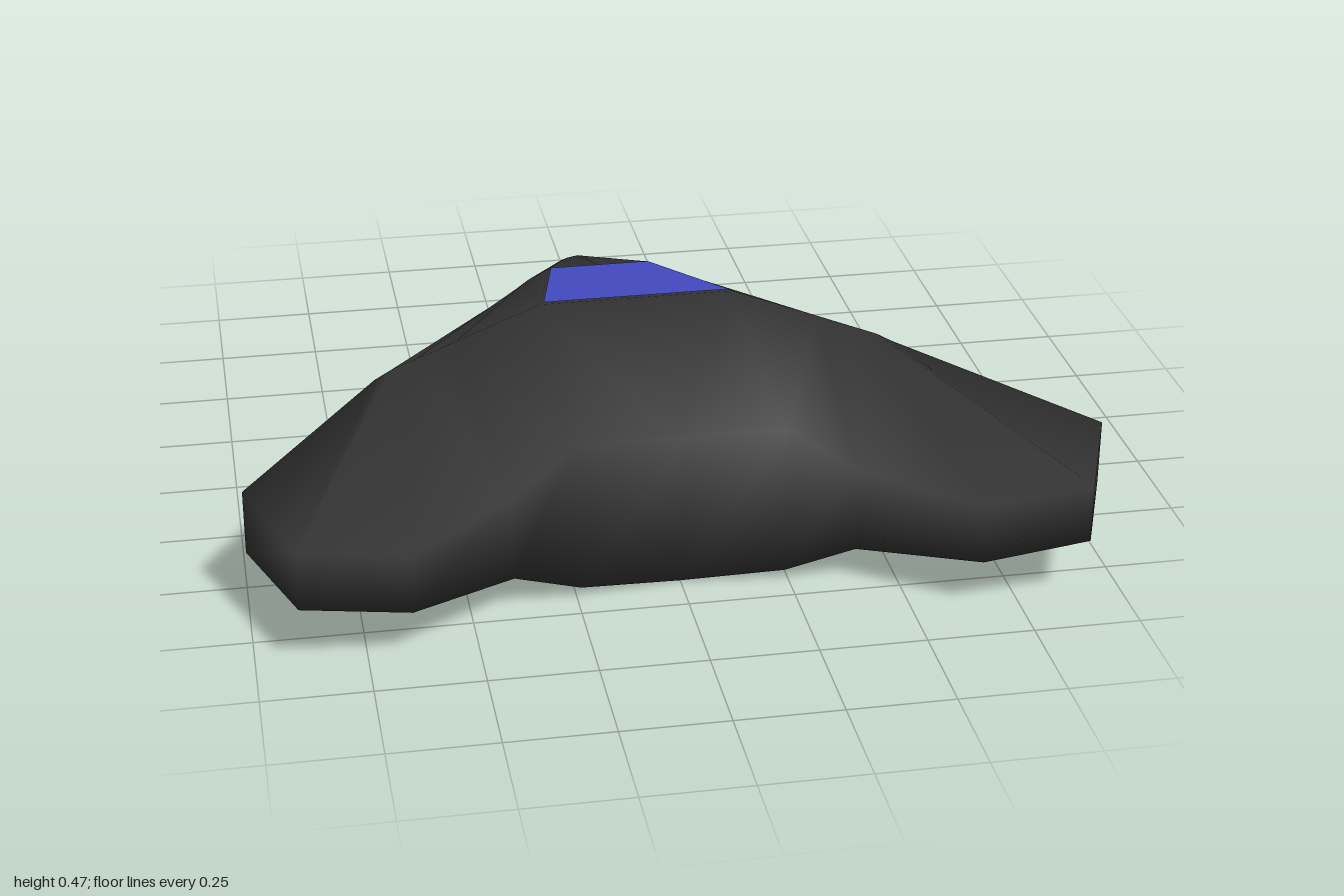
import * as THREE from 'three';

// Half cross-sections [x, y, z] from top centre, round the wing edge, to bottom centre
const NOSE = [
  [0, 0.165, -0.91], [0.035, 0.163, -0.9], [0.05, 0.158, -0.897], [0.06, 0.152, -0.893],
  [0.066, 0.147, -0.89], [0.072, 0.14, -0.885], [0.072, 0.115, -0.885], [0.066, 0.107, -0.887],
  [0.06, 0.1, -0.89], [0.05, 0.093, -0.895], [0.035, 0.085, -0.9], [0, 0.07, -0.91],
];
const NECK = [
  [0, 0.3], [0.135, 0.3], [0.19, 0.272], [0.22, 0.25], [0.24, 0.233], [0.26, 0.21],
  [0.26, 0.15], [0.24, 0.137], [0.22, 0.127], [0.19, 0.113], [0.135, 0.095], [0, 0.095],
].map(([x, y]) => [x, y, -0.53]);
const MIDDLE = [
  [0, 0.465], [0.24, 0.465], [0.45, 0.382], [0.55, 0.342], [0.61, 0.318], [0.65, 0.295],
  [0.65, 0.18], [0.61, 0.158], [0.55, 0.138], [0.45, 0.105], [0.24, 0.03], [0, 0.03],
].map(([x, y]) => [x, y, 0.05]);
const TAIL = [
  [0, 0.4, 0.67], [0.24, 0.4, 0.67], [0.4, 0.3, 0.715], [0.65, 0.28, 0.908], [0.9, 0.31, 0.908],
  [1, 0.335, 0.65], [1, 0.18, 0.65], [0.9, 0.17, 0.908], [0.65, 0.138, 0.908],
  [0.4, 0.09, 0.715], [0.24, 0.03, 0.68], [0, 0.003, 0.64],
];

// Closed loop from a half section and its mirror image
function mirrored(half) {
  const other = half.slice(1, -1).reverse().map(([x, y, z]) => [-x, y, z]);
  return [...half, ...other];
}

function hullGeometry() {
  const loops = [NOSE, NECK, MIDDLE, TAIL].map(mirrored);
  const n = loops[0].length, half = n / 2;
  const index = [];
  const quad = (a, b, c, d) => index.push(a, b, d, b, c, d);

  // Skin between neighbouring sections, with diagonals mirrored left to right
  for (let s = 0; s < loops.length - 1; s++) {
    for (let i = 0; i < n; i++) {
      const j = (i + 1) % n;
      const a = s * n + i, b = a + n, c = (s + 1) * n + j, d = s * n + j;
      if (i < half) quad(a, b, c, d);
      else quad(b, c, d, a);
    }
  }

  // Nose and tail caps, zipped between the top and bottom rows
  for (let k = 0; k < half / 2 - 0.5; k++) {
    const right = [k, half - k, half - k - 1, k + 1];
    const left = right.map((i) => (n - i) % n);
    const tail = (loops.length - 1) * n;
    quad(...right.map((i) => i + tail));
    quad(...left.map((i) => i + tail).reverse());
    quad(...right.slice().reverse());
    quad(...left);
  }

  const geometry = new THREE.BufferGeometry();
  geometry.setAttribute('position', new THREE.Float32BufferAttribute(loops.flat(2), 3));
  geometry.setIndex(index);
  geometry.computeVertexNormals();
  return geometry;
}

// Thin window panel lying on the flat upper facet ahead of the middle
function canopyGeometry() {
  const lift = 0.004;
  const corners = [
    [-0.13, 0.3 + lift, -0.525], [-0.23, 0.464 + lift, 0.045],
    [0.23, 0.464 + lift, 0.045], [0.13, 0.3 + lift, -0.525],
  ];
  const geometry = new THREE.BufferGeometry();
  geometry.setAttribute('position', new THREE.Float32BufferAttribute(corners.flat(), 3));
  geometry.setIndex([0, 1, 2, 0, 2, 3]);
  geometry.computeVertexNormals();
  return geometry;
}

export function createModel() {
  const charcoal = new THREE.MeshStandardMaterial({ color: 0x333333 });
  charcoal.name = 'charcoal';
  const blue = new THREE.MeshStandardMaterial({ color: 0x4a4fd0 });
  blue.name = 'blue';

  const model = new THREE.Group();
  model.name = 'deltaWingCraft';
  const hull = new THREE.Mesh(hullGeometry(), charcoal);
  hull.name = 'hull';
  const canopy = new THREE.Mesh(canopyGeometry(), blue);
  canopy.name = 'canopy';
  model.add(hull, canopy);
  return model;
}
